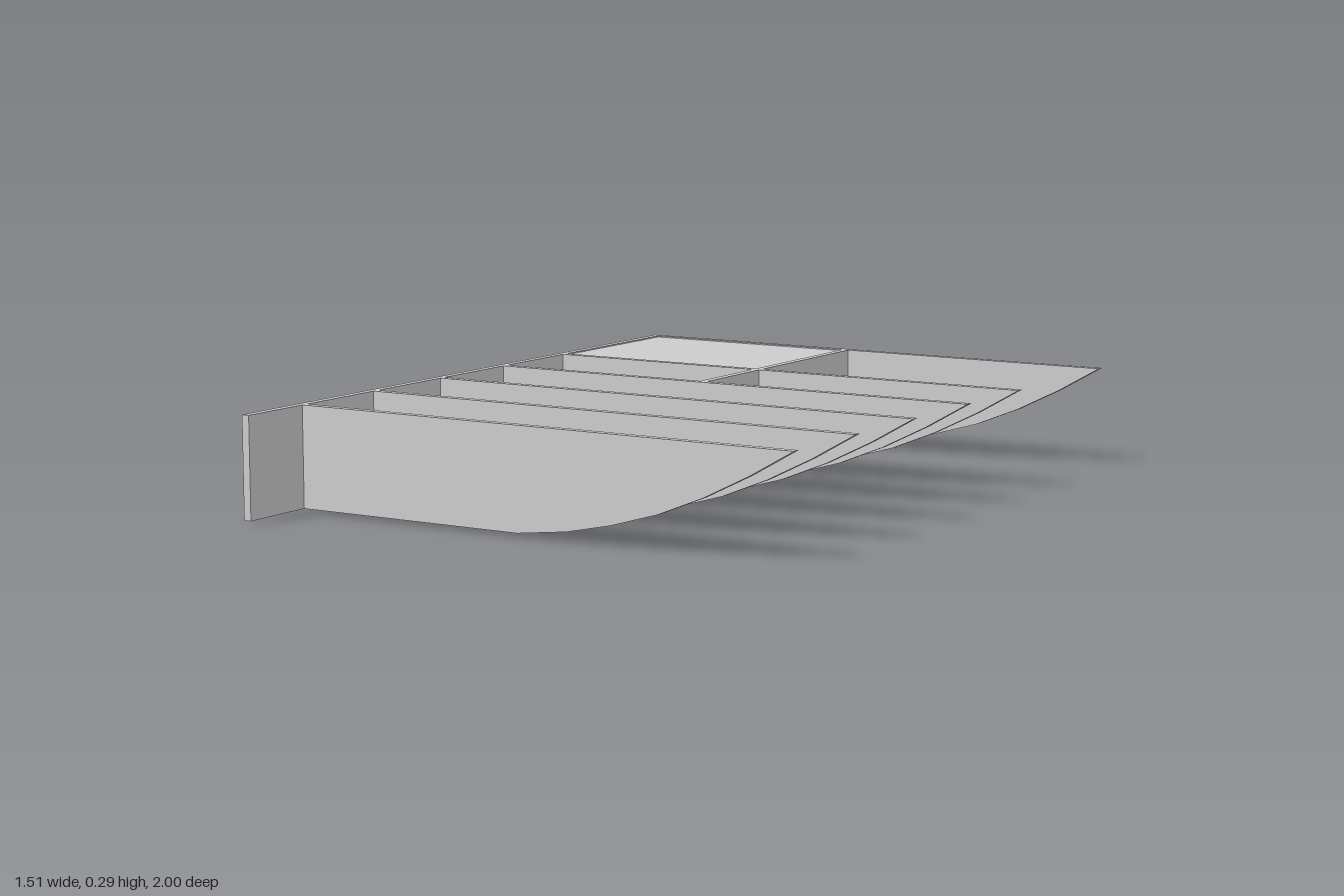
import * as THREE from 'three';

const BOTTOM = 0.01, TOP = 0.287, THICK = 0.022;

export function createModel() {
  const group = new THREE.Group();
  const material = new THREE.MeshStandardMaterial({ color: 0xcccccc, flatShading: true });

  const add = (name, geometry, x = 0, y = 0, z = 0) => {
    const mesh = new THREE.Mesh(geometry, material);
    mesh.name = name;
    mesh.position.set(x, y, z);
    group.add(mesh);
  };
  // Box given by its extents on each axis
  const addBox = (name, [x0, x1], [y0, y1], [z0, z1]) =>
    add(name, new THREE.BoxGeometry(x1 - x0, y1 - y0, z1 - z0),
      (x0 + x1) / 2, (y0 + y1) / 2, (z0 + z1) / 2);

  // Long plate that carries all the ribs
  addBox('backPlate', [-0.755, -0.733], [BOTTOM, TOP], [-1, 1]);

  // Ribs: flat top, underside sweeping up to a pointed tip
  const profile = new THREE.Shape([
    [-0.733, TOP], [-0.733, BOTTOM], [-0.05, BOTTOM], [0.1, 0.028], [0.23, 0.056],
    [0.37, 0.097], [0.5, 0.15], [0.63, 0.215], [0.755, TOP],
  ].map(([x, y]) => new THREE.Vector2(x, y)));
  const ribGeometry = new THREE.ExtrudeGeometry(profile, { depth: THICK, bevelEnabled: false });
  ribGeometry.translate(0, 0, -THICK / 2);
  for (const z of [-0.989, -0.461, -0.154, 0.154, 0.461, 0.769]) add('rib', ribGeometry, 0, 0, z);

  // Cross walls between the first three ribs
  addBox('crossWall', [-0.083, -0.061], [BOTTOM, TOP], [-0.978, -0.472]);
  addBox('crossWall', [-0.083, -0.061], [BOTTOM, TOP], [-0.45, -0.165]);

  // Tank set into the corner bay, with a narrow gap all round
  addBox('tank', [-0.73, -0.086], [BOTTOM + 0.001, TOP - 0.003], [-0.975, -0.475]);

  // Drain fitting under the tank
  add('drain', new THREE.CylinderGeometry(0.04, 0.04, 0.014, 32), -0.16, 0.007, -0.71);

  return group;
}
